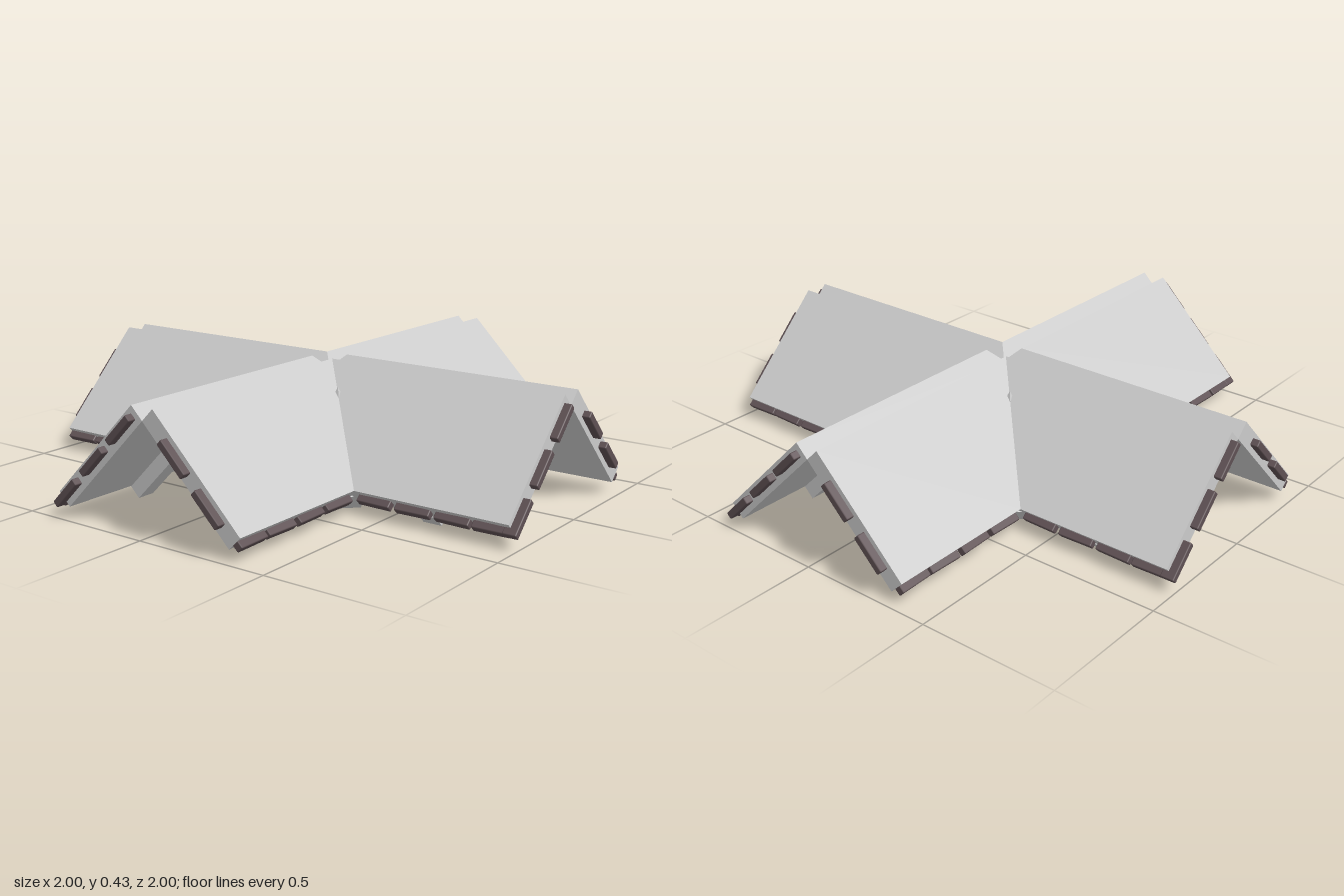
import * as THREE from 'three';
import { RoundedBoxGeometry } from 'three/addons/geometries/RoundedBoxGeometry.js';

const grey = new THREE.MeshStandardMaterial({ color: 0xcccccc, flatShading: true });
const stone = new THREE.MeshStandardMaterial({ color: 0x5e5053 });

// Closed solid between two matching loops (counter-clockwise seen from the end loop)
function loft(start, end) {
  const pos = [];
  const tri = (...pts) => pts.forEach((p) => pos.push(...p));
  const n = start.length;
  for (let i = 0; i < n; i++) {
    const j = (i + 1) % n;
    tri(start[i], start[j], end[j]);
    tri(start[i], end[j], end[i]);
  }
  for (let i = 1; i < n - 1; i++) {
    tri(end[0], end[i], end[i + 1]);
    tri(start[0], start[i + 1], start[i]);
  }
  const geometry = new THREE.BufferGeometry();
  geometry.setAttribute('position', new THREE.Float32BufferAttribute(pos, 3));
  geometry.computeVertexNormals();
  return geometry;
}

// Extrude an (x, y) profile along z; side -1 mirrors it across x
function prism(profile, side, z0, z1) {
  const p = side > 0 ? profile : [...profile].reverse();
  return loft(
    p.map(([x, y]) => [side * x, y, z0(x)]),
    p.map(([x, y]) => [side * x, y, z1])
  );
}

function add(parent, name, geometry, material = grey) {
  const mesh = new THREE.Mesh(geometry, material);
  mesh.name = name;
  parent.add(mesh);
  return mesh;
}

const ARM = 0.972;
const SLAB = [[0, 0.383], [0.345, 0.038], [0.39, 0.083], [0.045, 0.428]];
const RAFTER = [[0, 0.383], [0, 0.312], [0.312, 0], [0.348, 0.036]];

function createArm() {
  const arm = new THREE.Group();
  arm.name = 'roofArm';

  for (const side of [1, -1]) {
    // Sloping slab, mitred along the valley
    add(arm, 'roofSlab', prism(SLAB, side, (x) => x, ARM));
    // Rafter under the slab
    add(arm, 'rafter', prism(RAFTER, side, () => 0.615, 0.685));

    // Edge tiles on the gable: three on one slope, two on the other
    const gable = side < 0 ? [0.085, 0.21, 0.338] : [0.14, 0.275];
    for (const x of gable) {
      const tile = add(arm, 'gableTile', new RoundedBoxGeometry(0.135, 0.026, 0.05, 1, 0.004), stone);
      tile.position.set(side * x, 0.43 - x, 0.975);
      tile.rotation.z = -side * Math.PI / 4;
    }

    // Edge tiles along the eave
    [0.465, 0.615, 0.765, 0.905].forEach((z, i) => {
      const tile = add(arm, 'eaveTile', new RoundedBoxGeometry(0.04, 0.028, 0.13, 1, 0.004), stone);
      tile.position.set(side * 0.371, 0.057, z);
      tile.rotation.set(0, 0.03 * (i % 2 ? 1 : -1), -side * Math.PI / 4);
    });
  }

  // Valley beam running down the diagonal to the inner corner
  const valley = new THREE.Group();
  valley.name = 'valley';
  valley.rotation.y = Math.PI / 4;
  const w = 0.037;
  const section = (tBottom, tTop) => [
    [-w, 0.338 - tBottom, tBottom * Math.SQRT2],
    [w, 0.338 - tBottom, tBottom * Math.SQRT2],
    [w, 0.415 - tTop, tTop * Math.SQRT2],
    [-w, 0.415 - tTop, tTop * Math.SQRT2],
  ];
  add(valley, 'valleyBeam', loft(section(0.01, 0.03), section(0.338, 0.364)));

  // Small peg poking through the valley
  const peg = add(valley, 'valleyPeg', new THREE.ConeGeometry(0.018, 0.035, 4));
  peg.position.set(0, 0.338, 0.2);
  arm.add(valley);
  return arm;
}

export function createModel() {
  const model = new THREE.Group();
  model.name = 'crossGableRoof';
  for (let i = 0; i < 4; i++) {
    const arm = createArm();
    arm.rotation.y = i * Math.PI / 2;
    model.add(arm);
  }
  return model;
}
